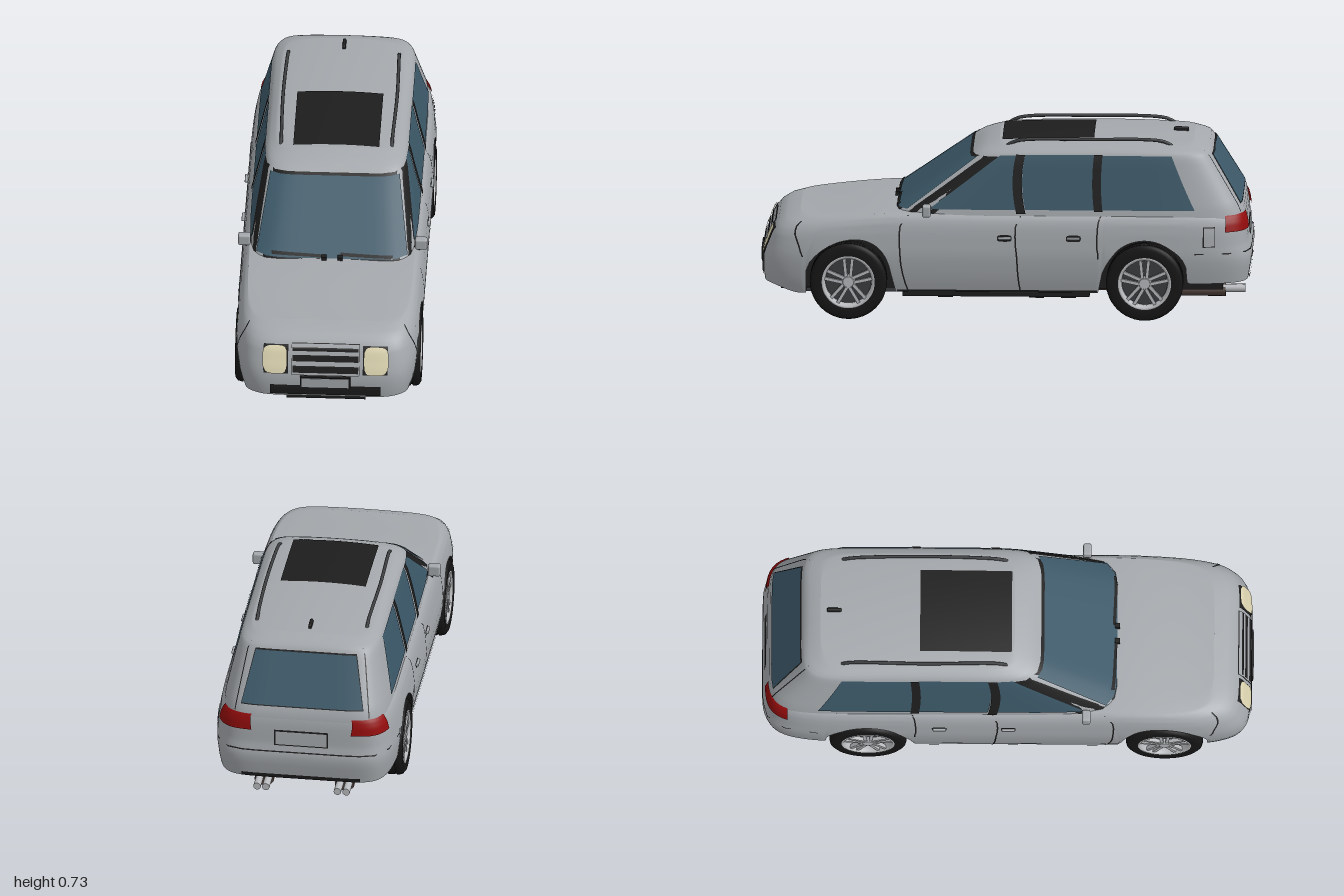
import * as THREE from 'three';
import { RoundedBoxGeometry } from 'three/addons/geometries/RoundedBoxGeometry.js';

const mat = (name, color) => new THREE.MeshStandardMaterial({ name, color, side: THREE.DoubleSide });
const silver = mat('silver paint', 0xa4a8ac), glass = mat('tinted glass', 0x3c5868), black = mat('black trim', 0x1d1d1d);
const lamp = mat('cream lamp', 0xded6b2), red = mat('tail red', 0x930c0c), alloy = mat('alloy', 0xb9bbbe);
const rubber = mat('rubber', 0x161616), brown = mat('exhaust brown', 0x54453f), grey = mat('dark grey', 0x3c3d3f);

const N = 8, SHOULDER = 0.437, WHEELS = [0.64, -0.565];
const { smoothstep, lerp } = THREE.MathUtils;

// Each shell is a stack of rounded-rectangle rings: [y, half width, front z, rear z]
const lower = {
  rings: [[0.1, 0.35, 0.972, -0.975], [0.13, 0.36, 0.982, -0.98], [0.18, 0.37, 0.99, -0.988], [0.24, 0.377, 0.988, -0.998],
    [0.28, 0.378, 0.976, -0.994], [0.3, 0.376, 0.967, -0.984], [0.36, 0.37, 0.948, -0.98], [0.4, 0.362, 0.925, -0.976],
    [0.425, 0.35, 0.89, -0.97], [SHOULDER, 0.335, 0.84, -0.965]],
  warp: (y, x, z) => y + smoothstep(y, 0.3, SHOULDER) *
    (0.012 * smoothstep(z, 0, 0.3) * (1 - (x / 0.37) ** 2) - 0.035 * smoothstep(z, 0.4, 0.95)),
  // lower edge, lifted over the wheels
  bottom: z => {
    for (const c of WHEELS) if (Math.abs(z - c) < 0.178) return 0.157 + Math.sqrt(0.178 ** 2 - (z - c) ** 2);
    return z > 0.8 ? lerp(0.105, 0.14, smoothstep(z, 0.85, 0.98)) : z < -0.7 ? 0.155 : 0.115;
  },
};
const cabin = {
  rings: [[0.42, 0.345, 0.475, -0.972], [0.45, 0.34, 0.44, -0.968], [0.66, 0.292, 0.14, -0.84], [0.685, 0.283, 0.105, -0.825],
    [0.7, 0.268, 0.07, -0.8], [0.71, 0.245, 0.03, -0.76]],
  warp: (y, x, z) => y + smoothstep(y, 0.66, 0.71) * (0.015 * (1 - (x / 0.25) ** 2) - 0.01 * ((z + 0.35) / 0.4) ** 2),
  bottom: () => 0.42,
};

function ringAt(shell, y) {
  const r = shell.rings;
  let i = 0;
  while (i < r.length - 2 && y > r[i + 1][0]) i++;
  const t = THREE.MathUtils.clamp((y - r[i][0]) / (r[i + 1][0] - r[i][0]), 0, 1);
  return [1, 2, 3].map(k => lerp(r[i][k], r[i + 1][k], t));
}
// Point on a shell: angle 0 is the left side, 90 degrees the front
function at(shell, a, y, out = 0) {
  const [w, f, b] = ringAt(shell, y), c = Math.cos(a), s = Math.sin(a);
  const r = (Math.abs(c) ** N + Math.abs(s) ** N) ** (-1 / N);
  const x = (w + out) * c * r, z = (f + b) / 2 + ((f - b) / 2 + out) * s * r;
  return [x, shell.warp(y, x, z), z];
}
const other = t => Math.max(0, 1 - Math.abs(t) ** N) ** (1 / N);
const onSide = (shell, z, y) => {
  const [, f, b] = ringAt(shell, y), t = (2 * z - f - b) / (f - b);
  return [Math.atan2(t, other(t)), y];
};
const onEnd = (shell, x, y, sign = 1) => {
  const t = x / ringAt(shell, y)[0];
  return [Math.atan2(sign * other(t), t), y];
};

function grid(nu, nv, fn) {
  const pos = [], idx = [];
  for (let i = 0; i <= nu; i++) for (let j = 0; j <= nv; j++) pos.push(...fn(i / nu, j / nv, j));
  for (let i = 0; i < nu; i++) for (let j = 0; j < nv; j++) {
    const a = i * (nv + 1) + j, b = a + nv + 1;
    idx.push(a, a + 1, b, a + 1, b + 1, b);
  }
  const g = new THREE.BufferGeometry();
  g.setAttribute('position', new THREE.Float32BufferAttribute(pos, 3));
  g.setIndex(idx);
  g.computeVertexNormals();
  return g;
}

export function createModel() {
  const car = new THREE.Group();
  car.name = 'car';
  const add = (name, geo, m, x = 0, y = 0, z = 0, parent = car) => {
    const mesh = new THREE.Mesh(geo, m);
    mesh.name = name;
    mesh.position.set(x, y, z);
    parent.add(mesh);
    return mesh;
  };
  const box = (name, m, w, h, d, x, y, z, parent) => add(name, new THREE.BoxGeometry(w, h, d), m, x, y, z, parent);
  const rod = (name, m, r, len, x, y, z) => add(name, new THREE.CylinderGeometry(r, r, len, 20).rotateX(Math.PI / 2), m, x, y, z);

  // Body shells: up the left side, across the top, down the right side
  const S = 14, C = 10;
  const shellGeo = (shell, rows) => grid(rows, 2 * S + C, (u, v, j) => {
    const a = (u - 0.5) * Math.PI, low = shell.bottom(at(shell, a, 0.2)[2]), top = shell.rings.at(-1)[0];
    const s = Math.min(j, 2 * S + C - j, S) / S;
    const [x, , z] = at(shell, a, lerp(low, top, 1 - (1 - s) ** 1.6));
    const k = j <= S ? 1 : j >= S + C ? -1 : 1 - 2 * (j - S) / C;
    return [x * k, shell.warp(lerp(low, top, 1 - (1 - s) ** 1.6), x * k, z), z];
  });
  add('lowerBody', shellGeo(lower, 300), silver);
  add('cabin', shellGeo(cabin, 140), silver);
  add('undersideAndWheelWells', grid(300, 2, (u, v) => {
    const a = (u - 0.5) * Math.PI, [x, y, z] = at(lower, a, lower.bottom(at(lower, a, 0.2)[2]));
    return [x * (2 * v - 1) * 0.995, y, z];
  }), black);

  // Thin plates that follow a shell; corners are bottom/top at the low and high angle
  const patch = (name, shell, m, [bl, br, tr, tl], out = 0.004, round = 0) =>
    add(name, grid(16, 8, (u, v) => {
      let p = 2 * u - 1, q = 2 * v - 1;
      [p, q] = [p * Math.sqrt(1 - round * q ** 4), q * Math.sqrt(1 - round * p ** 4)];
      u = (p + 1) / 2; v = (q + 1) / 2;
      return at(shell, lerp(lerp(bl[0], br[0], u), lerp(tl[0], tr[0], u), v), lerp(lerp(bl[1], br[1], u), lerp(tl[1], tr[1], u), v), out);
    }), m);
  const flip = ([a, y]) => [Math.PI - a, y];
  const pair = (name, shell, m, c, out, round) => {
    patch(name + 'Left', shell, m, c, out, round);
    patch(name + 'Right', shell, m, [c[1], c[0], c[3], c[2]].map(flip), out, round);
  };
  // side quad from rear to front: z at bottom rear, bottom front, top front, top rear
  const sideQuad = (shell, y0, y1, a, b, c, d) => [onSide(shell, a, y0), onSide(shell, b, y0), onSide(shell, c, y1), onSide(shell, d, y1)];
  const frontQuad = (shell, x0, x1, y0, y1) => [onEnd(shell, x1, y0), onEnd(shell, x0, y0), onEnd(shell, x0, y1), onEnd(shell, x1, y1)];
  const rearQuad = (shell, x0, x1, y0, y1, t0 = x0, t1 = x1) =>
    [onEnd(shell, x0, y0, -1), onEnd(shell, x1, y0, -1), onEnd(shell, t1, y1, -1), onEnd(shell, t0, y1, -1)];

  // Windscreen, pillars and windows
  const deg = Math.PI / 180;
  patch('windscreenFrame', cabin, black, [[38 * deg, 0.432], [142 * deg, 0.432], [144 * deg, 0.664], [36 * deg, 0.664]], 0.003);
  patch('windscreen', cabin, glass, [[46.5 * deg, 0.45], [133.5 * deg, 0.45], [133 * deg, 0.657], [47 * deg, 0.657]], 0.006);
  pair('frontWindow', cabin, glass, sideQuad(cabin, 0.455, 0.672, -0.05, 0.31, 0.02, -0.05));
  pair('middleWindow', cabin, glass, sideQuad(cabin, 0.455, 0.675, -0.36, -0.08, -0.08, -0.36));
  pair('rearSideWindow', cabin, glass, sideQuad(cabin, 0.455, 0.672, -0.765, -0.39, -0.39, -0.67));
  pair('centrePillar', cabin, black, sideQuad(cabin, 0.44, 0.677, -0.082, -0.045, -0.045, -0.082), 0.007);
  pair('rearPillar', cabin, black, sideQuad(cabin, 0.45, 0.677, -0.392, -0.358, -0.358, -0.392), 0.007);
  patch('rearWindowSeal', cabin, black, rearQuad(cabin, -0.25, 0.25, 0.468, 0.668, -0.206, 0.206), 0.003);
  patch('rearWindow', cabin, glass, rearQuad(cabin, -0.245, 0.245, 0.473, 0.663, -0.202, 0.202), 0.006);
  for (const s of [1, -1]) {
    const c = s > 0 ? [0.24, 0.035] : [-0.03, -0.235];
    patch('wiper', cabin, black, [onEnd(cabin, c[0], 0.454), onEnd(cabin, c[1], 0.459), onEnd(cabin, c[1], 0.468), onEnd(cabin, c[0], 0.462)], 0.013);
    box('wiperPivot', black, 0.02, 0.02, 0.02, c[s > 0 ? 1 : 0], 0.452, 0.447);
  }

  // Roof: sunroof, rails, fin
  add('sunroof', grid(12, 10, (u, v) => {
    const x = lerp(0.175, -0.175, v), z = lerp(-0.355, 0.018, u);
    return [x, cabin.warp(0.71, x, z) + 0.004, z];
  }), black);
  for (const s of [1, -1]) {
    const path = [[0, 0.702], [-0.04, 0.722], [-0.34, 0.73], [-0.64, 0.722], [-0.68, 0.7]].map(([z, y]) => new THREE.Vector3(s * (0.232 - 0.02 * Math.abs(z + 0.34)), y - 0.004, z));
    add('roofRail', new THREE.TubeGeometry(new THREE.CatmullRomCurve3(path), 30, 0.007, 8), grey);
  }
  add('roofFin', new RoundedBoxGeometry(0.014, 0.022, 0.06, 2, 0.006), black, 0, 0.722, -0.705);

  // Front: headlamps, grille, plate, intake
  pair('headlampFrame', lower, black, frontQuad(lower, 0.15, 0.25, 0.248, 0.376), 0.003);
  pair('headlamp', lower, lamp, frontQuad(lower, 0.153, 0.249, 0.25, 0.374), 0.009, 0.3);
  patch('grilleSeam', lower, black, frontQuad(lower, -0.137, 0.137, 0.243, 0.383), 0.003);
  patch('grillePanel', lower, silver, frontQuad(lower, -0.135, 0.135, 0.245, 0.381), 0.006);
  for (const [y0, y1] of [[0.256, 0.284], [0.301, 0.329], [0.348, 0.366]])
    patch('grilleSlot', lower, black, frontQuad(lower, -0.131, 0.131, y0, y1), 0.009);
  patch('bumperIntake', lower, black, frontQuad(lower, -0.222, 0.222, 0.15, 0.197), 0.005);
  box('frontPlateFrame', black, 0.204, 0.052, 0.012, 0, 0.213, 0.993);
  box('frontPlate', silver, 0.192, 0.042, 0.006, 0, 0.213, 0.998);

  // Rear: tail lamps, plate, bumper seam, tailgate seams
  pair('tailLamp', lower, red, [onEnd(lower, 0.2, 0.368, -1), onSide(lower, -0.885, 0.368), onSide(lower, -0.885, 0.434), onEnd(lower, 0.2, 0.434, -1)], 0.007);
  patch('rearPlateFrame', lower, black, rearQuad(lower, -0.11, 0.11, 0.305, 0.373), 0.003);
  patch('rearPlate', lower, silver, rearQuad(lower, -0.103, 0.103, 0.311, 0.367), 0.006);
  patch('rearBumperSeam', lower, black, [[-142 * deg, 0.278], [-38 * deg, 0.278], [-38 * deg, 0.283], [-142 * deg, 0.283]], 0.002);
  patch('rearBumperTrim', lower, black, rearQuad(lower, -0.24, 0.24, 0.158, 0.175), 0.005);
  pair('tailgateSeam', cabin, black, rearQuad(cabin, 0.272, 0.276, 0.44, 0.69, 0.226, 0.23), 0.002);

  // Doors: seams, handles, fuel flap
  const seam = (name, z, y0, y1, zt = z) => pair(name, lower, black, sideQuad(lower, y0, y1, z - 0.003, z + 0.003, zt + 0.003, zt - 0.003), 0.002);
  seam('frontDoorSeam', 0.395, 0.118, 0.43);
  seam('middleDoorSeam', -0.06, 0.118, 0.43);
  seam('rearDoorSeam', -0.375, 0.26, 0.43, -0.385);
  seam('noseSeam', 0.825, 0.26, 0.425, 0.83);
  pair('sillTrim', lower, black, sideQuad(lower, 0.117, 0.126, -0.37, 0.44, 0.44, -0.37), 0.003);
  for (const z of [0.005, -0.275]) {
    pair('handleRecess', lower, black, sideQuad(lower, 0.33, 0.357, z - 0.03, z + 0.03, z + 0.03, z - 0.03), 0.003, 0.3);
    for (const s of [1, -1]) add('doorHandle', new RoundedBoxGeometry(0.014, 0.01, 0.054, 2, 0.004), silver, s * 0.378, 0.344, z);
  }
  patch('fuelFlapSeam', lower, black, sideQuad(lower, 0.308, 0.39, -0.85, -0.8, -0.8, -0.85), 0.002);
  patch('fuelFlap', lower, silver, sideQuad(lower, 0.312, 0.386, -0.846, -0.804, -0.804, -0.846), 0.004);

  for (const s of [1, -1]) {
    // Mirrors
    add('mirror', new RoundedBoxGeometry(0.05, 0.048, 0.034, 3, 0.008), silver, s * 0.36, 0.453, 0.322);
    box('mirrorArm', black, 0.04, 0.016, 0.02, s * 0.335, 0.432, 0.32);
    // Exhausts
    const muffler = rod('muffler', brown, 0.04, 0.2, s * 0.165, 0.092, -0.79);
    muffler.scale.y = 0.65;
    rod('exhaustPipe', brown, 0.014, 1.0, s * 0.1, 0.085, -0.2);
    for (const x of [0.147, 0.183]) rod('exhaustTip', alloy, 0.015, 0.09, s * x, 0.1, -0.925);
  }

  // Underbody
  box('chassisCore', black, 0.42, 0.2, 1.72, 0, 0.2, -0.02);
  box('floorPan', black, 0.64, 0.03, 0.76, 0, 0.105, 0.04);
  box('frontSkidPlate', grey, 0.32, 0.012, 0.28, 0, 0.08, 0.68);
  box('frontSubframe', black, 0.32, 0.03, 0.12, 0, 0.1, 0.86);
  box('gearboxGuard', grey, 0.2, 0.03, 0.16, 0, 0.075, 0.45);
  rod('catalyst', brown, 0.032, 0.18, 0, 0.085, 0.02);
  for (const z of [0.25, -0.12, -0.25]) box('crossMember', black, 0.34, 0.03, 0.06, 0, 0.068, z);

  // Wheels
  const lathe = pts => new THREE.LatheGeometry(pts.map(p => new THREE.Vector2(...p)), 48).rotateZ(-Math.PI / 2);
  const tyre = lathe([[0.1, -0.05], [0.14, -0.054], [0.153, -0.044], [0.157, -0.03], [0.157, -0.022], [0.15, -0.02], [0.15, -0.014], [0.157, -0.012],
    [0.157, 0.012], [0.15, 0.014], [0.15, 0.02], [0.157, 0.022], [0.157, 0.03], [0.153, 0.044], [0.14, 0.054], [0.104, 0.05]]);
  const rim = lathe([[0.096, -0.05], [0.093, 0.03], [0.096, 0.045], [0.102, 0.053], [0.108, 0.051]]);
  const disc = new THREE.CylinderGeometry(0.095, 0.095, 0.012, 32).rotateZ(-Math.PI / 2);
  const hub = new THREE.CylinderGeometry(0.022, 0.03, 0.02, 20).rotateZ(-Math.PI / 2);
  for (const z of WHEELS) for (const s of [1, -1]) {
    const wheel = new THREE.Group();
    wheel.name = 'wheel';
    wheel.position.set(s * 0.323, 0.157, z);
    wheel.rotation.y = s > 0 ? 0 : Math.PI;
    car.add(wheel);
    add('tyre', tyre, rubber, 0, 0, 0, wheel);
    add('rim', rim, alloy, 0, 0, 0, wheel);
    add('brakeDisc', disc, grey, 0.005, 0, 0, wheel);
    add('hub', hub, alloy, 0.04, 0, 0, wheel);
    for (let i = 0; i < 5; i++) for (const d of [-1, 1]) {
      const geo = new THREE.BoxGeometry(0.016, 0.08, 0.013).rotateX(d * 0.1).translate(0, 0.058, d * 0.013).rotateX(i * Math.PI * 0.4);
      add('spoke', geo, alloy, 0.038, 0, 0, wheel);
    }
  }
  return car;
}
